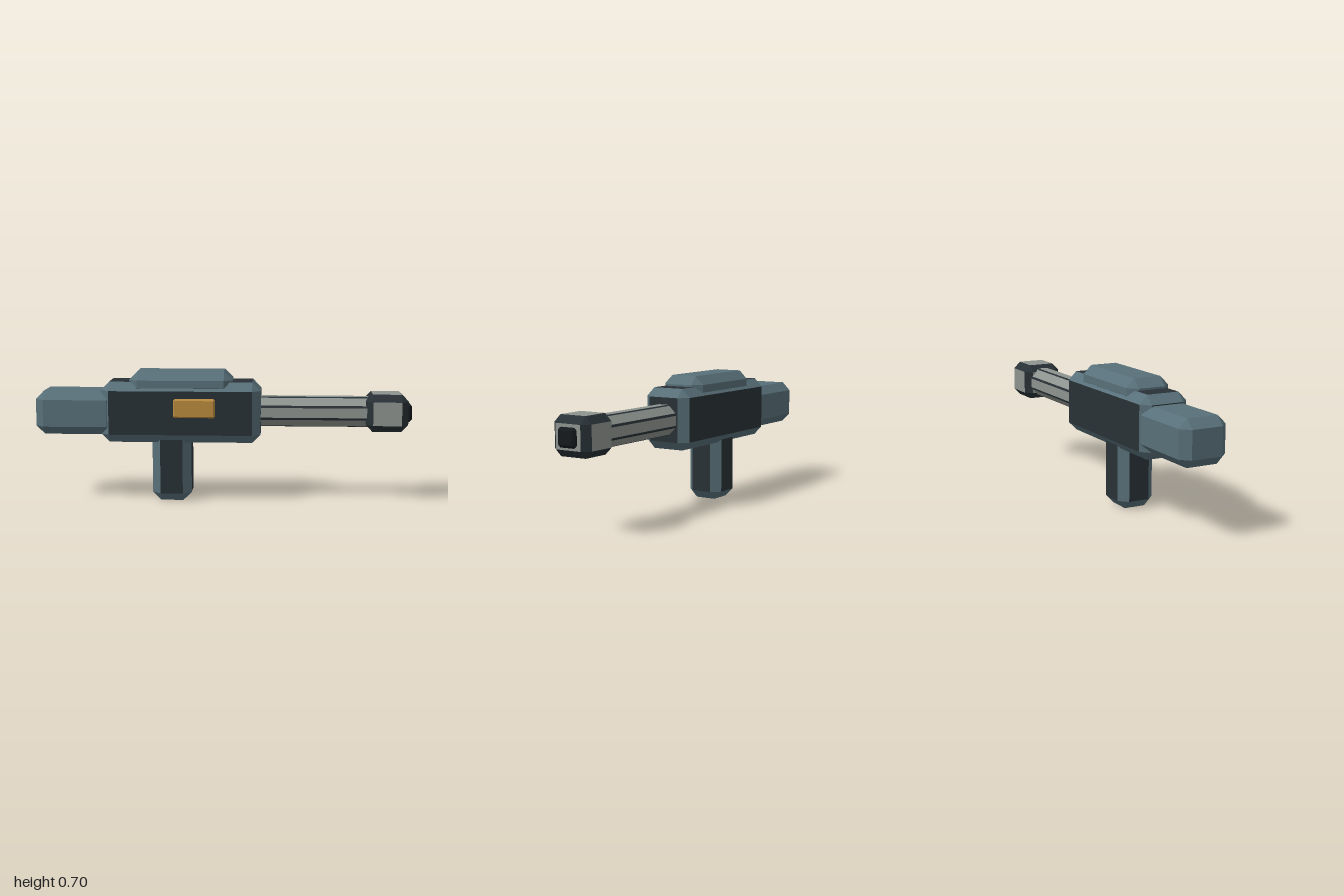
import * as THREE from 'three';

const mat = (color) => new THREE.MeshStandardMaterial({ color, flatShading: true });
const DARK = mat(0x283136), TEAL = mat(0x587079), GREY = mat(0x8d938e), GOLD = mat(0xb98a3e), BLACK = mat(0x14191d);
const MID_Z = -0.013;

// Mesh from a list of convex polygons, each wound to face away from the origin
function polyMesh(name, polys, material) {
  const pos = [];
  const n = new THREE.Vector3(), e = new THREE.Vector3();
  for (const poly of polys) {
    const p = poly.map((v) => new THREE.Vector3(...v));
    n.subVectors(p[1], p[0]).cross(e.subVectors(p[2], p[0]));
    if (n.dot(p[0]) < 0) p.reverse();
    for (let i = 1; i < p.length - 1; i++) pos.push(...p[0], ...p[i], ...p[i + 1]);
  }
  const g = new THREE.BufferGeometry();
  g.setAttribute('position', new THREE.Float32BufferAttribute(pos, 3));
  g.computeVertexNormals();
  const mesh = new THREE.Mesh(g, material);
  mesh.name = name;
  return mesh;
}

// Box with chamfered edges; the flat panels and the bevels have their own material
function chamferBox(name, [x0, x1], [y0, y1], [z0, z1], c, panelMat, bevelMat) {
  const half = [(x1 - x0) / 2, (y1 - y0) / 2, (z1 - z0) / 2];
  // corner point lying on the panel that faces the given axis
  const pt = (axis, s) => half.map((h, i) => s[i] * (i === axis ? h : h - c));
  const signs = (a, sa, b, sb, d, sd) => {
    const s = [];
    s[a] = sa; s[b] = sb; s[d] = sd;
    return s;
  };
  const panels = [], bevels = [];
  for (let a = 0; a < 3; a++) {
    const b = (a + 1) % 3, d = (a + 2) % 3;
    for (const s of [-1, 1]) {
      panels.push([[-1, -1], [1, -1], [1, 1], [-1, 1]].map(([u, v]) => pt(a, signs(a, s, b, u, d, v))));
      for (const t of [-1, 1]) {
        const p = signs(a, s, b, t, d, -1), q = signs(a, s, b, t, d, 1);
        bevels.push([pt(a, p), pt(a, q), pt(b, q), pt(b, p)]);
      }
    }
  }
  for (const x of [-1, 1]) for (const y of [-1, 1]) for (const z of [-1, 1])
    bevels.push([0, 1, 2].map((a) => pt(a, [x, y, z])));
  const group = new THREE.Group();
  group.name = name;
  group.add(polyMesh(name + 'Panels', panels, panelMat), polyMesh(name + 'Bevels', bevels, bevelMat));
  group.position.set((x0 + x1) / 2, (y0 + y1) / 2, (z0 + z1) / 2);
  return group;
}

// Eight-sided bar along x with narrow bevel strips between its flats
function barrel(x0, x1, y, apothem, flatHalf) {
  const h = (x1 - x0) / 2, da = Math.atan(flatHalf / apothem), r = Math.hypot(apothem, flatHalf);
  const ring = [];
  for (let i = 0; i < 8; i++)
    for (const s of [-1, 1]) {
      const t = i * Math.PI / 4 + s * da;
      ring.push([r * Math.sin(t), r * Math.cos(t)]);
    }
  const flats = [], strips = [];
  ring.forEach((p, i) => {
    const q = ring[(i + 1) % ring.length];
    (i % 2 ? strips : flats).push([[-h, ...p], [h, ...p], [h, ...q], [-h, ...q]]);
  });
  for (const x of [-h, h]) flats.push(ring.map((p) => [x, ...p]));
  const group = new THREE.Group();
  group.name = 'barrel';
  group.add(polyMesh('barrelFlats', flats, GREY), polyMesh('barrelStrips', strips, DARK));
  group.position.set((x0 + x1) / 2, y, MID_Z);
  return group;
}

export function createModel() {
  const model = new THREE.Group();
  model.name = 'blaster';
  const z = (half) => [MID_Z - half, MID_Z + half];
  model.add(
    chamferBox('body', [-0.65, 0.2], [0.322, 0.645], z(0.132), 0.045, DARK, TEAL),
    chamferBox('stock', [-1, -0.57], [0.362, 0.595], z(0.128), 0.045, TEAL, TEAL),
    chamferBox('topCover', [-0.5, 0.05], [0.57, 0.7], z(0.119), 0.045, TEAL, TEAL),
    chamferBox('grip', [-0.38, -0.17], [0, 0.4], z(0.102), 0.045, DARK, TEAL),
    barrel(0.15, 0.82, 0.483, 0.08, 0.026),
    chamferBox('muzzle', [0.754, 0.978], [0.384, 0.583], z(0.11), 0.037, GREY, DARK),
    chamferBox('bore', [0.9, 1], [0.434, 0.53], z(0.052), 0.013, BLACK, BLACK),
    chamferBox('sidePlate', [-0.26, -0.04], [0.463, 0.562], [0.117, 0.147], 0.008, GOLD, GOLD),
  );
  return model;
}
